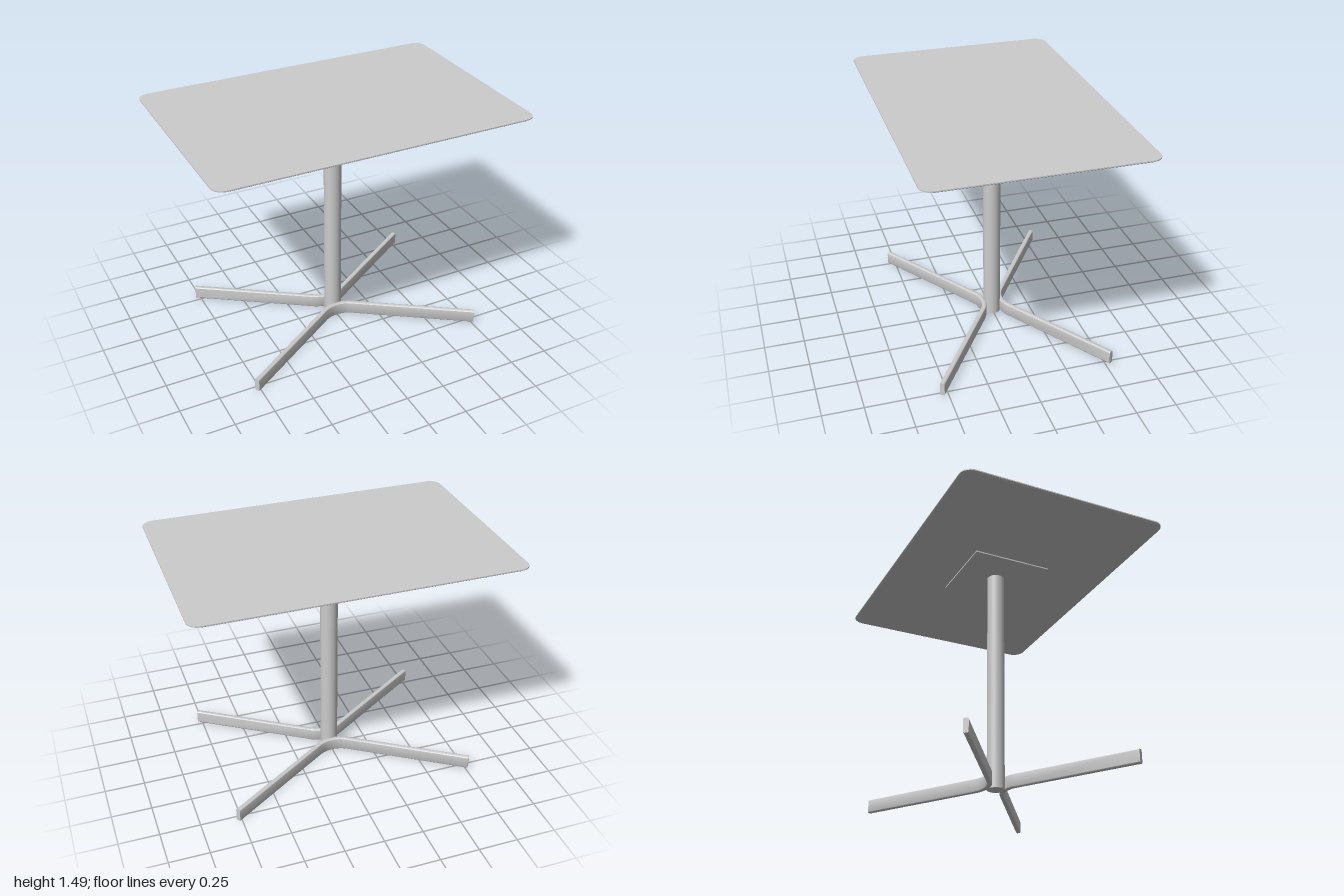
import * as THREE from 'three';
import { toCreasedNormals } from 'three/addons/utils/BufferGeometryUtils.js';

const material = new THREE.MeshStandardMaterial({ color: 0xcccccc });

function addMesh(parent, name, geometry, y = 0) {
  const mesh = new THREE.Mesh(geometry, material);
  mesh.name = name;
  mesh.position.y = y;
  parent.add(mesh);
  return mesh;
}

// Rounded rectangle centred on the origin
function roundedRect(w, h, r) {
  const x = w / 2, y = h / 2, s = new THREE.Shape();
  s.absarc(x - r, y - r, r, 0, Math.PI / 2);
  s.absarc(-x + r, y - r, r, Math.PI / 2, Math.PI);
  s.absarc(-x + r, -y + r, r, Math.PI, Math.PI * 1.5);
  s.absarc(x - r, -y + r, r, Math.PI * 1.5, Math.PI * 2);
  s.closePath();
  return s;
}

// Thin top with its lower edge chamfered inwards
function topGeometry() {
  const t = 0.014;
  const g = new THREE.ExtrudeGeometry(roundedRect(2, 1.336, 0.07),
    { depth: t, steps: 2, bevelEnabled: false, curveSegments: 10 });
  g.rotateX(-Math.PI / 2);
  const p = g.attributes.position;
  for (let i = 0; i < p.count; i++) {
    if (p.getY(i) < t * 0.25) {
      p.setX(i, p.getX(i) * 0.99);
      p.setZ(i, p.getZ(i) * 0.985);
    }
  }
  return toCreasedNormals(g, 0.5);
}

// Flat bar swept along a straight - arc - straight path; serves as two feet
function barGeometry() {
  const height = 0.085, thick = 0.03, arcSteps = 8;
  const angle = THREE.MathUtils.degToRad(33.6), radius = 0.18, straight = 0.807, z0 = 0.06;
  const n = arcSteps + 1;
  const g = new THREE.ExtrudeGeometry(roundedRect(thick, height, 0.008),
    { depth: 2 * n, steps: 2 * n, bevelEnabled: false, curveSegments: 4 });
  const p = g.attributes.position;
  for (let i = 0; i < p.count; i++) {
    const k = n - Math.round(p.getZ(i));
    const a = angle * Math.min(Math.abs(k), arcSteps) / arcSteps;
    const run = Math.abs(k) === n ? straight : 0;
    const offset = p.getX(i);
    const x = (radius - offset) * Math.sin(a) + run * Math.cos(a);
    const z = z0 + radius - (radius - offset) * Math.cos(a) + run * Math.sin(a);
    p.setXYZ(i, Math.sign(k) * x, p.getY(i) + height / 2, z);
  }
  return toCreasedNormals(g, 0.6);
}

export function createModel() {
  const table = new THREE.Group();
  table.name = 'table';

  addMesh(table, 'tabletop', topGeometry(), 1.478);
  addMesh(table, 'mountingPlate', new THREE.BoxGeometry(0.512, 0.01, 0.512), 1.474);
  addMesh(table, 'column', new THREE.CylinderGeometry(0.055, 0.055, 1.47, 48), 0.735);

  // Two bent bars back to back around the column
  const bar = barGeometry();
  addMesh(table, 'frontFeet', bar);
  addMesh(table, 'backFeet', bar).rotation.y = Math.PI;

  return table;
}
